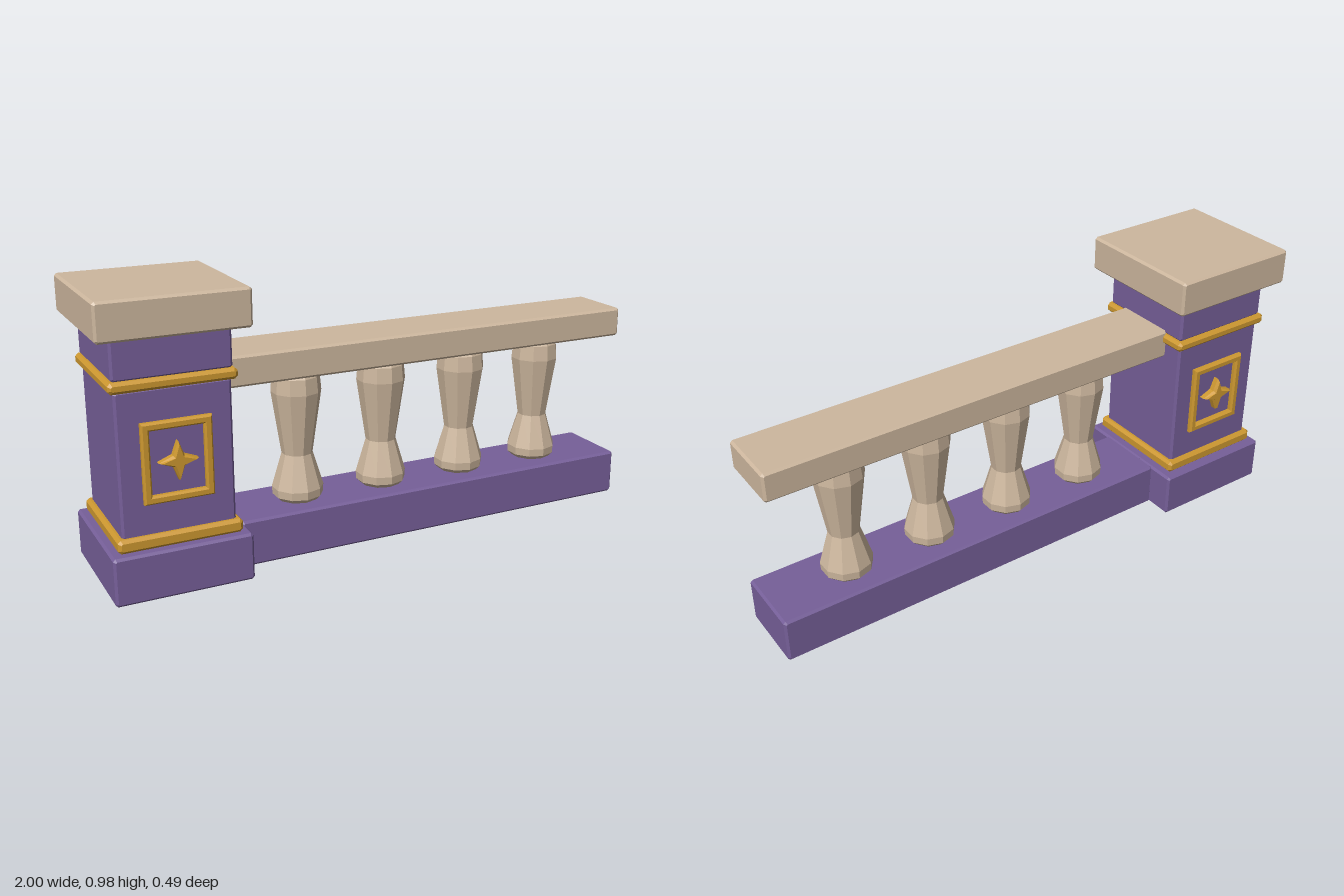
import * as THREE from 'three';

const stone = new THREE.MeshStandardMaterial({ color: 0xcdb79e });
stone.name = 'stone';
const purple = new THREE.MeshStandardMaterial({ color: 0x765f99 });
purple.name = 'purple paint';
const gold = new THREE.MeshStandardMaterial({ color: 0xcd9830 });
gold.name = 'gold trim';

const POST_X = -0.755;

function mesh(name, geometry, material) {
  const m = new THREE.Mesh(geometry, material);
  m.name = name;
  return m;
}

// Box with all edges chamfered, given by its limits
function block(name, material, x0, x1, y0, y1, halfZ, b = 0.008) {
  const w = (x1 - x0) / 2, h = (y1 - y0) / 2;
  const shape = new THREE.Shape([
    [-w + b, -h], [w - b, -h], [w, -h + b], [w, h - b],
    [w - b, h], [-w + b, h], [-w, h - b], [-w, -h + b],
  ].map(([x, y]) => new THREE.Vector2(x, y)));
  const g = new THREE.ExtrudeGeometry(shape, {
    depth: 2 * (halfZ - b), bevelThickness: b, bevelSize: b, bevelOffset: -b, bevelSegments: 1,
  });
  g.translate((x0 + x1) / 2, (y0 + y1) / 2, -halfZ + b);
  return mesh(name, g, material);
}

// Square block centred on the post
function postBlock(name, material, half, y0, y1, b) {
  return block(name, material, POST_X - half, POST_X + half, y0, y1, half, b);
}

function rect(Type, w, h) {
  return new Type([[-w, -h], [w, -h], [w, h], [-w, h]].map(([x, y]) => new THREE.Vector2(x, y)));
}

// Gold frame with a four-pointed star, facing +z
function ornament() {
  const g = new THREE.Group();
  g.name = 'ornament';
  const frame = rect(THREE.Shape, 0.115, 0.133);
  frame.holes.push(rect(THREE.Path, 0.088, 0.106));
  g.add(mesh('ornamentFrame', new THREE.ExtrudeGeometry(frame, {
    depth: 0.017, bevelThickness: 0.007, bevelSize: 0.006, bevelOffset: -0.006, bevelSegments: 1,
  }), gold));

  const points = [];
  for (let i = 0; i < 8; i++) {
    const r = i % 2 ? 0.026 : 0.065, a = i * Math.PI / 4;
    points.push(new THREE.Vector2(Math.cos(a) * r, Math.sin(a) * r));
  }
  g.add(mesh('ornamentStar', new THREE.ExtrudeGeometry(new THREE.Shape(points), {
    depth: 0.024, bevelThickness: 0.012, bevelSize: 0.007, bevelOffset: -0.007, bevelSegments: 1,
  }), gold));
  return g;
}

// Faceted baluster profile
function balusterGeometry() {
  const profile = [
    [0, 0.16], [0.072, 0.162], [0.088, 0.178], [0.09, 0.206], [0.054, 0.328],
    [0.087, 0.55], [0.082, 0.605], [0.072, 0.624], [0, 0.626],
  ].map(([r, y]) => new THREE.Vector2(r, y));
  const g = new THREE.LatheGeometry(profile, 10).toNonIndexed();
  g.computeVertexNormals();
  return g;
}

export function createModel() {
  const model = new THREE.Group();
  model.name = 'balustrade';

  // Post
  const post = new THREE.Group();
  post.name = 'post';
  post.add(
    postBlock('postBase', purple, 0.231, 0, 0.163),
    postBlock('lowerTrim', gold, 0.206, 0.163, 0.209, 0.01),
    postBlock('postShaft', purple, 0.188, 0.2, 0.682),
    postBlock('upperTrim', gold, 0.206, 0.679, 0.716, 0.01),
    postBlock('postNeck', purple, 0.193, 0.713, 0.85),
    postBlock('postCap', stone, 0.245, 0.848, 0.975),
  );
  for (const side of [1, -1]) {
    const o = ornament();
    o.position.set(POST_X, 0.444, side * 0.183);
    if (side < 0) o.rotation.y = Math.PI;
    post.add(o);
  }
  model.add(post);

  // Low wall and handrail
  model.add(block('lowWall', purple, -0.53, 1, 0, 0.163, 0.133));
  model.add(block('handrail', stone, -0.57, 1, 0.622, 0.727, 0.117));

  // Balusters
  const geometry = balusterGeometry();
  for (let i = 0; i < 4; i++) {
    const b = mesh('baluster', geometry, stone);
    b.position.x = -0.27 + i * 0.3245;
    model.add(b);
  }
  return model;
}
